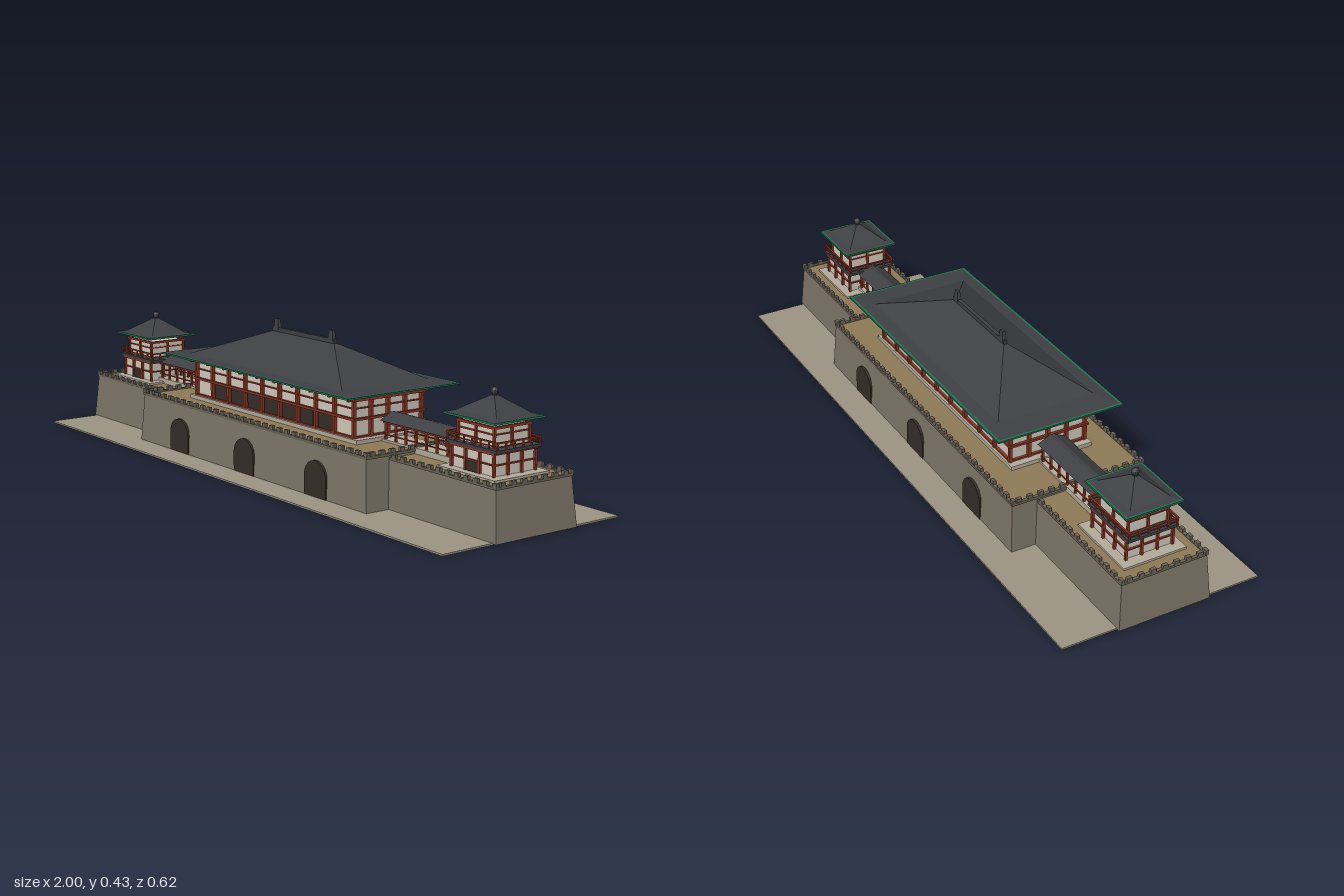
import * as THREE from 'three';

const mat = (color, opts = {}) => {
  const m = new THREE.MeshStandardMaterial({ flatShading: true, ...opts });
  m.color.set(color);
  return m;
};
const M = {
  ground: mat(0x9d9584), stone: mat(0x7d7668), deck: mat(0x8f7a55), merlon: mat(0x6a6458),
  tile: mat(0x3e4044), green: mat(0x22704f), red: mat(0x8c3524), plaster: mat(0xd3ccbd),
  dark: mat(0x362c25), plinth: mat(0xb5ad9c),
};

function add(parent, name, geo, material, x = 0, y = 0, z = 0) {
  const mesh = new THREE.Mesh(geo, material);
  mesh.name = name;
  mesh.position.set(x, y, z);
  parent.add(mesh);
  return mesh;
}

// Box given by centre x/z, bottom and top heights, and half sizes
function block(parent, name, material, hx, hz, y0, y1, x = 0, z = 0) {
  return add(parent, name, new THREE.BoxGeometry(hx * 2, y1 - y0, hz * 2), material, x, (y0 + y1) / 2, z);
}

// Box whose top has its own half sizes: battered walls and hipped roofs
function tapered(parent, name, material, hx, hz, tx, tz, y0, y1, x = 0) {
  const geo = new THREE.BoxGeometry(hx * 2, y1 - y0, hz * 2);
  const p = geo.attributes.position;
  for (let i = 0; i < p.count; i++) {
    if (p.getY(i) > 0) {
      p.setX(i, Math.sign(p.getX(i)) * tx);
      p.setZ(i, Math.sign(p.getZ(i)) * tz);
    }
  }
  geo.computeVertexNormals();
  return add(parent, name, geo, material, x, (y0 + y1) / 2);
}

// Evenly spaced values from a to b
const spread = (a, b, n) => Array.from({ length: n + 1 }, (_, i) => a + (b - a) * i / n);

// Rectangular frame of four bars
function ring(parent, name, material, hx, hz, t, y0, y1) {
  for (const s of [-1, 1]) {
    block(parent, name, material, hx, t, y0, y1, 0, s * (hz - t));
    block(parent, name, material, t, hz - 2 * t, y0, y1, s * (hx - t), 0);
  }
}

// Posts around a rectangle with nx and nz bays
function posts(parent, name, material, hx, hz, nx, nz, r, y0, y1) {
  for (const s of [-1, 1]) {
    for (const x of spread(-hx, hx, nx)) block(parent, name, material, r, r, y0, y1, x, s * hz);
    for (const z of spread(-hz, hz, nz).slice(1, -1)) block(parent, name, material, r, r, y0, y1, s * hx, z);
  }
}

// Merlons along a straight run
function merlons(parent, from, to, y, h) {
  const a = new THREE.Vector2(...from), b = new THREE.Vector2(...to);
  const n = Math.max(1, Math.round(a.distanceTo(b) / 0.036));
  const along = Math.abs(b.x - a.x) > Math.abs(b.y - a.y);
  for (const t of spread(0, 1, n)) {
    const p = a.clone().lerp(b, t);
    block(parent, 'merlon', M.merlon, along ? 0.008 : 0.005, along ? 0.005 : 0.008, y, y + h, p.x, p.y);
  }
}

function centralWall() {
  const g = new THREE.Group();
  g.name = 'centralWall';
  tapered(g, 'wallBody', M.stone, 0.575, 0.22, 0.562, 0.212, 0.003, 0.152);
  block(g, 'wallDeck', M.deck, 0.555, 0.206, 0.15, 0.154);
  ring(g, 'parapet', M.merlon, 0.566, 0.214, 0.005, 0.15, 0.158);
  for (const s of [-1, 1]) {
    merlons(g, [-0.56, s * 0.208], [0.56, s * 0.208], 0.157, 0.012);
    merlons(g, [s * 0.56, -0.19], [s * 0.56, 0.19], 0.157, 0.012);
  }
  // Arched gateways running through the wall
  const arch = new THREE.Shape();
  arch.moveTo(-0.05, 0);
  arch.lineTo(0.05, 0);
  arch.lineTo(0.05, 0.06);
  arch.absarc(0, 0.06, 0.05, 0, Math.PI, false);
  arch.lineTo(-0.05, 0);
  const geo = new THREE.ExtrudeGeometry(arch, { depth: 0.444, bevelEnabled: false, curveSegments: 8 });
  geo.scale(1, 0.96, 1);
  for (const x of [-0.348, 0, 0.348]) add(g, 'gateway', geo, M.dark, x, 0.003, -0.222);
  return g;
}

function mainHall() {
  const g = new THREE.Group();
  g.name = 'mainHall';
  block(g, 'hallPlinth', M.plinth, 0.42, 0.132, 0.153, 0.166);
  block(g, 'hallWalls', M.plaster, 0.39, 0.117, 0.166, 0.274);
  posts(g, 'hallColumn', M.red, 0.395, 0.122, 9, 4, 0.005, 0.166, 0.276);
  ring(g, 'middleBeam', M.red, 0.405, 0.13, 0.004, 0.217, 0.224);
  ring(g, 'topBeam', M.red, 0.405, 0.13, 0.005, 0.271, 0.279);
  ring(g, 'sillBeam', M.red, 0.398, 0.125, 0.004, 0.166, 0.171);
  ring(g, 'upperRail', M.red, 0.394, 0.121, 0.003, 0.247, 0.251);
  // Beam ends reaching out under the eaves
  for (const x of spread(-0.395, 0.395, 9)) {
    block(g, 'crossBeam', M.red, 0.004, 0.145, 0.272, 0.278, x);
  }
  // Doors in the seven inner bays of the front
  for (const x of spread(-0.263, 0.263, 6)) {
    block(g, 'door', M.dark, 0.032, 0.003, 0.171, 0.215, x, 0.119);
  }
  // Hipped roof with a broad flat brim
  block(g, 'eaveSoffit', M.green, 0.468, 0.202, 0.294, 0.299);
  tapered(g, 'eaveTiles', M.tile, 0.46, 0.194, 0.385, 0.156, 0.299, 0.302);
  tapered(g, 'roof', M.tile, 0.385, 0.156, 0.15, 0.004, 0.302, 0.39);
  block(g, 'ridge', M.tile, 0.152, 0.006, 0.385, 0.402);
  for (const s of [-1, 1]) {
    tapered(g, 'ridgeOrnament', M.tile, 0.013, 0.007, 0.008, 0.004, 0.395, 0.427, s * 0.135);
  }
  return g;
}

function tower() {
  const g = new THREE.Group();
  g.name = 'cornerTower';
  block(g, 'towerPlinth', M.plinth, 0.112, 0.098, 0.143, 0.15);
  block(g, 'lowerWalls', M.plaster, 0.079, 0.069, 0.15, 0.21);
  posts(g, 'lowerColumn', M.red, 0.082, 0.073, 3, 3, 0.0035, 0.15, 0.21);
  ring(g, 'lowerRail', M.red, 0.084, 0.074, 0.003, 0.178, 0.182);
  ring(g, 'lowerBeam', M.red, 0.088, 0.078, 0.004, 0.208, 0.214);
  block(g, 'lowerDoor', M.dark, 0.022, 0.003, 0.15, 0.178, 0, 0.072);
  // Balcony
  block(g, 'balconyFloor', M.tile, 0.098, 0.079, 0.214, 0.222);
  posts(g, 'balconyPost', M.red, 0.096, 0.075, 6, 5, 0.002, 0.222, 0.243);
  ring(g, 'balconyRail', M.red, 0.099, 0.078, 0.0025, 0.24, 0.244);
  ring(g, 'balconyMidRail', M.red, 0.098, 0.077, 0.0015, 0.23, 0.233);
  // Upper storey
  block(g, 'upperWalls', M.plaster, 0.067, 0.06, 0.222, 0.276);
  posts(g, 'upperColumn', M.red, 0.069, 0.062, 2, 2, 0.0035, 0.222, 0.277);
  ring(g, 'upperBeam', M.red, 0.074, 0.067, 0.004, 0.272, 0.279);
  ring(g, 'windowRail', M.red, 0.07, 0.063, 0.0025, 0.255, 0.259);
  // Pyramid roof and finial
  block(g, 'towerEave', M.green, 0.1, 0.09, 0.29, 0.296);
  tapered(g, 'towerEaveTiles', M.tile, 0.094, 0.084, 0.078, 0.064, 0.296, 0.301);
  tapered(g, 'towerRoof', M.tile, 0.078, 0.064, 0.006, 0.006, 0.301, 0.345);
  add(g, 'finialNeck', new THREE.CylinderGeometry(0.006, 0.009, 0.012, 8), M.tile, 0, 0.346);
  add(g, 'finial', new THREE.SphereGeometry(0.011, 10, 8), M.tile, 0, 0.355);
  return g;
}

// End bastion, its tower and the covered corridor to the hall
function wing() {
  const g = new THREE.Group();
  g.name = 'wing';
  tapered(g, 'bastion', M.stone, 0.25, 0.143, 0.236, 0.133, 0.003, 0.142, 0.75);
  block(g, 'bastionDeck', M.deck, 0.22, 0.127, 0.139, 0.1435, 0.762);
  for (const s of [-1, 1]) {
    block(g, 'bastionParapet', M.merlon, 0.211, 0.005, 0.14, 0.147, 0.778, s * 0.131);
    merlons(g, [0.585, s * 0.131], [0.982, s * 0.131], 0.146, 0.011);
  }
  block(g, 'bastionParapet', M.merlon, 0.005, 0.127, 0.14, 0.147, 0.984);
  merlons(g, [0.984, -0.11], [0.984, 0.11], 0.146, 0.011);

  const t = tower();
  t.position.x = 0.83;
  g.add(t);

  block(g, 'corridorFloor', M.plinth, 0.165, 0.042, 0.143, 0.16, 0.585);
  for (const s of [-1, 1]) {
    for (const x of spread(0.43, 0.735, 7)) {
      block(g, 'corridorPost', M.red, 0.003, 0.003, 0.16, 0.212, x, s * 0.036);
    }
    block(g, 'corridorBeam', M.red, 0.165, 0.003, 0.205, 0.212, 0.585, s * 0.036);
    block(g, 'corridorRail', M.red, 0.165, 0.002, 0.172, 0.175, 0.585, s * 0.036);
  }
  tapered(g, 'corridorRoof', M.tile, 0.17, 0.046, 0.17, 0.006, 0.212, 0.232, 0.585);
  return g;
}

export function createModel() {
  const model = new THREE.Group();
  model.name = 'fortressGate';
  block(model, 'ground', M.ground, 0.988, 0.31, 0, 0.005);
  model.add(centralWall(), mainHall());
  const left = wing();
  left.name = 'leftWing';
  model.add(left);

  // Mirror by half turn, keeping the tower door facing forward
  const right = wing();
  right.name = 'rightWing';
  right.rotation.y = Math.PI;
  right.getObjectByName('cornerTower').rotation.y = Math.PI;
  model.add(right);
  return model;
}
